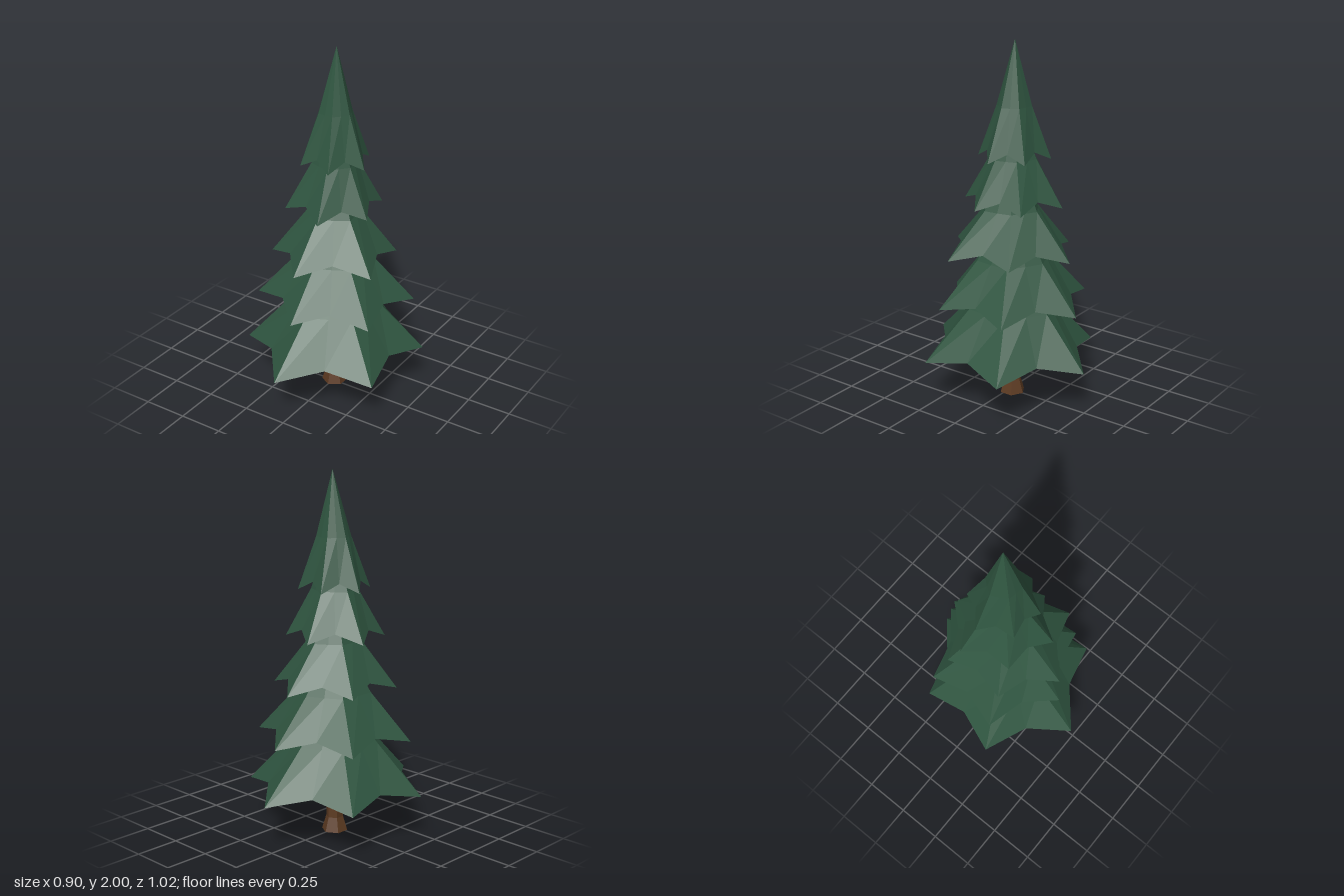
import * as THREE from 'three';

const needleGreen = new THREE.MeshStandardMaterial({ color: 0x2f5540, flatShading: true });
needleGreen.name = 'needleGreen';
const barkBrown = new THREE.MeshStandardMaterial({ color: 0x5c3a21, flatShading: true });
barkBrown.name = 'barkBrown';

// Each tier: height of the branch tips, centre z, shoulder shrink, and six [x, z] branch tips
const TIERS = [
  { y: 0.25, cz: -0.015, shrink: 0.49, tips: [[0.035, -0.515], [0.45, -0.24], [0.42, 0.265], [-0.045, 0.51], [-0.45, 0.19], [-0.395, -0.29]] },
  { y: 0.555, cz: -0.02, shrink: 0.48, tips: [[0.02, -0.45], [0.39, -0.225], [0.36, 0.21], [-0.02, 0.385], [-0.385, 0.17], [-0.365, -0.26]] },
  { y: 0.84, cz: -0.02, shrink: 0.43, tips: [[-0.01, -0.385], [0.285, -0.2], [0.34, 0.16], [-0.01, 0.365], [-0.29, 0.16], [-0.3, -0.19]] },
  { y: 1.115, cz: -0.025, shrink: 0.47, tips: [[-0.07, -0.295], [0.185, -0.205], [0.245, 0.05], [0.065, 0.25], [-0.2, 0.16], [-0.285, -0.1]] },
  { y: 1.37, cz: -0.03, shrink: 0.48, tips: [[-0.085, -0.21], [0.115, -0.18], [0.195, 0], [0.07, 0.155], [-0.12, 0.13], [-0.21, -0.05]] },
];

// Star-shaped skirt: pointed rim, shoulder ring, apex, and a hollowed underside
function tierGeometry({ y, cz, shrink, tips }, index) {
  const shoulderY = 0.53 + 0.28 * index;
  const apex = [0, shoulderY + 0.35, cz - 0.005];
  const rim = [], shoulder = [], hollow = [];
  const scaled = (x, z, s, h) => [x * s, h, cz + (z - cz) * s];
  tips.forEach(([x, z], i) => {
    const [nx, nz] = tips[(i + 1) % tips.length];
    const notch = scaled((x + nx) / 2, (z + nz) / 2, 0.86, y + 0.05);
    rim.push([x, y, z], notch);
    shoulder.push(scaled(x, z, shrink, shoulderY), scaled(notch[0], notch[2], shrink * 1.2, shoulderY));
    hollow.push(scaled(x, z, 0.28, y + 0.16), scaled(notch[0], notch[2], 0.36, y + 0.16));
  });
  const hub = [0, y + 0.17, cz];
  const positions = [];
  const tri = (a, b, c) => positions.push(...a, ...b, ...c);
  const n = rim.length;
  for (let i = 0; i < n; i++) {
    const j = (i + 1) % n;
    // upper skirt
    tri(rim[i], shoulder[i], rim[j]);
    tri(rim[j], shoulder[i], shoulder[j]);
    tri(shoulder[i], apex, shoulder[j]);
    // underside
    tri(rim[i], rim[j], hollow[i]);
    tri(rim[j], hollow[j], hollow[i]);
    tri(hollow[i], hollow[j], hub);
  }
  const geometry = new THREE.BufferGeometry();
  geometry.setAttribute('position', new THREE.Float32BufferAttribute(positions, 3));
  geometry.computeVertexNormals();
  return geometry;
}

export function createModel() {
  const tree = new THREE.Group();
  tree.name = 'pineTree';

  const add = (name, geometry, material, x = 0, y = 0, z = 0) => {
    const mesh = new THREE.Mesh(geometry, material);
    mesh.name = name;
    mesh.position.set(x, y, z);
    tree.add(mesh);
  };

  // Six-sided trunk with a flared foot
  add('trunkFoot', new THREE.CylinderGeometry(0.048, 0.072, 0.08, 6), barkBrown, 0, 0.04, -0.02);
  add('trunk', new THREE.CylinderGeometry(0.042, 0.048, 0.42, 6, 1, true), barkBrown, 0, 0.29, -0.02);

  // Overlapping branch tiers
  TIERS.forEach((tier, i) => add(`branchTier${i + 1}`, tierGeometry(tier, i), needleGreen));

  return tree;
}
